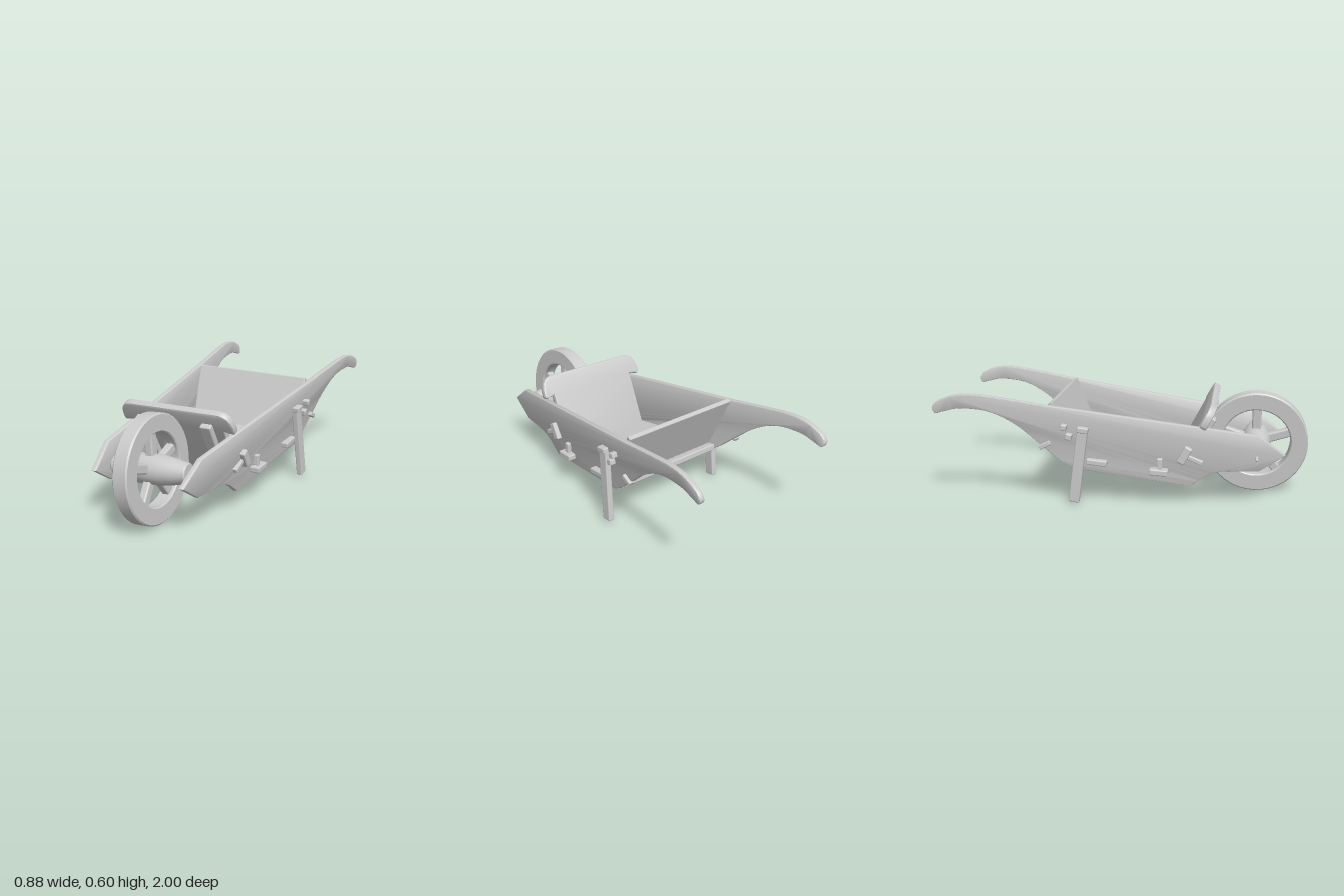
import * as THREE from 'three';
import { toCreasedNormals } from 'three/addons/utils/BufferGeometryUtils.js';
import { RoundedBoxGeometry } from 'three/addons/geometries/RoundedBoxGeometry.js';

const wood = new THREE.MeshStandardMaterial({ color: 0xcccccc });
const V = (x, y) => new THREE.Vector2(x, y);

// Distance of a side board's middle from the centre line (boards splay back and up)
const boardX = (z, y) => 0.325 - 0.08 * z + 0.08 * (y - 0.3);

function add(parent, name, geometry) {
  const mesh = new THREE.Mesh(geometry, wood);
  mesh.name = name;
  parent.add(mesh);
  return mesh;
}

function block(parent, name, w, h, d, x, y, z, tilt = 0) {
  const r = Math.min(w, h, d) * 0.2;
  const mesh = add(parent, name, new RoundedBoxGeometry(w, h, d, 2, r));
  mesh.position.set(x, y, z);
  mesh.rotation.x = tilt;
  return mesh;
}

// Flat board cut from an outline, centred on its thickness
function slab(shape, thickness, bevel = 0.005) {
  const g = new THREE.ExtrudeGeometry(shape, {
    depth: thickness - 2 * bevel, bevelThickness: bevel, bevelSize: bevel,
    bevelOffset: -bevel, bevelSegments: 2, curveSegments: 10,
  });
  return g.translate(0, 0, -(thickness - 2 * bevel) / 2);
}

// Side board and handle in one piece; s = 1 is left, -1 is right
function sideBoard(s) {
  const p = (z, y) => V(-s * z, y);
  const shape = new THREE.Shape();
  shape.moveTo(-s * 0.865, 0.28);
  shape.lineTo(-s * 0.72, 0.39);
  shape.lineTo(-s * -0.4, 0.545);
  shape.splineThru([p(-0.6, 0.577), p(-0.77, 0.6), p(-0.88, 0.595), p(-0.97, 0.562),
    p(-1, 0.525), p(-0.985, 0.495), p(-0.94, 0.505), p(-0.85, 0.522), p(-0.7, 0.505),
    p(-0.56, 0.435), p(-0.42, 0.315), p(-0.33, 0.235), p(-0.26, 0.19)]);
  shape.lineTo(-s * 0.37, 0.1);
  shape.splineThru([p(0.45, 0.16), p(0.53, 0.185), p(0.63, 0.188), p(0.73, 0.19)]);
  shape.closePath();
  const g = slab(shape, 0.032, 0.007);
  const pos = g.attributes.position;
  for (let i = 0; i < pos.count; i++) {
    const z = -s * pos.getX(i), y = pos.getY(i), t = pos.getZ(i);
    pos.setXYZ(i, s * (boardX(z, y) + s * s * t), y, z);
  }
  return toCreasedNormals(g, 0.6);
}

function trapezoid(bottom, top, height) {
  return new THREE.Shape([V(-bottom, 0), V(bottom, 0), V(top, height), V(-top, height)]);
}

function makeWheel() {
  const wheel = new THREE.Group();
  wheel.name = 'wheel';
  const turned = (name, pts, segments) => {
    const g = new THREE.LatheGeometry(pts.map(([r, y]) => V(r, y)), segments);
    return add(wheel, name, toCreasedNormals(g.rotateZ(-Math.PI / 2), 0.6));
  };
  turned('rim', [[0.19, -0.036], [0.196, -0.042], [0.278, -0.042], [0.285, -0.035],
    [0.285, 0.035], [0.278, 0.042], [0.196, 0.042], [0.19, 0.036], [0.19, -0.036]], 40);
  turned('hub', [[0, -0.227], [0.046, -0.227], [0.052, -0.22], [0.053, -0.2], [0.066, -0.14],
    [0.077, -0.07], [0.081, 0], [0.077, 0.07], [0.066, 0.14], [0.055, 0.19], [0.052, 0.207],
    [0.046, 0.213], [0, 0.213]], 24);
  turned('axle', [[0, -0.325], [0.006, -0.32], [0.012, -0.27], [0.012, 0.265], [0, 0.275]], 10);
  for (let i = 0; i < 5; i++) {
    const a = (i * 2 * Math.PI) / 5;
    block(wheel, 'spoke', 0.045, 0.17, 0.05, 0, 0.13 * Math.cos(a), 0.13 * Math.sin(a), a);
  }
  wheel.position.set(0, 0.287, 0.715);
  wheel.rotation.z = 0.07;
  return wheel;
}

function makeHeadboard() {
  const board = new THREE.Group();
  board.name = 'headboard';
  // Narrow body with rounded ears resting over the side boards
  const s = new THREE.Shape();
  s.moveTo(-0.27, 0);
  s.lineTo(0.27, 0);
  s.lineTo(0.275, 0.335);
  s.lineTo(0.32, 0.325);
  s.quadraticCurveTo(0.335, 0.325, 0.335, 0.345);
  s.quadraticCurveTo(0.335, 0.45, 0.25, 0.45);
  s.lineTo(-0.26, 0.45);
  s.quadraticCurveTo(-0.345, 0.45, -0.345, 0.345);
  s.quadraticCurveTo(-0.345, 0.325, -0.33, 0.325);
  s.lineTo(-0.275, 0.335);
  s.closePath();
  add(board, 'headboardPanel', toCreasedNormals(slab(s, 0.04, 0.009), 0.6));
  for (const x of [-0.212, 0.183]) block(board, 'headboardBatten', 0.065, 0.33, 0.04, x, 0.215, 0.03);
  board.position.set(0, 0.15, 0.28);
  board.rotation.set(0.48, 0, 0.025);
  return board;
}

export function createModel() {
  const barrow = new THREE.Group();
  barrow.name = 'wheelbarrow';
  barrow.add(makeWheel(), makeHeadboard());

  // Floor planks, sloping down towards the wheel
  for (const [z0, z1] of [[-0.265, 0.017], [0.023, 0.3]]) {
    const half = (z) => boardX(z, 0.2 - 0.14 * z);
    const shape = new THREE.Shape([V(-half(z0), z0), V(half(z0), z0), V(half(z1), z1), V(-half(z1), z1)]);
    const plank = add(barrow, 'floorPlank', slab(shape, 0.03).rotateX(Math.PI / 2));
    plank.position.y = 0.2;
    plank.rotation.x = 0.14;
  }

  // Tailboard leaning back, with a rail under it
  const tail = add(barrow, 'tailboard', slab(trapezoid(0.33, 0.352, 0.335), 0.026));
  tail.position.set(0, 0.24, -0.25);
  tail.rotation.x = -0.4;
  block(barrow, 'rearRail', 0.68, 0.035, 0.04, 0, 0.222, -0.285, 0.14);

  // Through tenons, wedges and pegs: name, z, y, length, height, tilt, reach
  const fittings = [
    ['headboardTenon', 0.335, 0.28, 0.045, 0.1, 0.5, 0.045],
    ['headboardWedge', 0.385, 0.255, 0.1, 0.025, 0.4, 0.035],
    ['floorTenon', 0.2, 0.188, 0.1, 0.032, 0.05, 0.065],
    ['floorWedge', 0.205, 0.23, 0.03, 0.06, 0, 0.04],
    ['rearFloorTenon', -0.13, 0.235, 0.11, 0.03, 0.1, 0.05],
    ['upperPeg', -0.3, 0.43, 0.032, 0.03, 0.2, 0.05],
    ['lowerPeg', -0.275, 0.378, 0.034, 0.034, 0.2, 0.05],
    ['rearWedge', -0.405, 0.327, 0.065, 0.025, -0.45, 0.035],
  ];

  for (const s of [-1, 1]) {
    const side = s > 0 ? 'left' : 'right';
    add(barrow, side + 'SideBoard', sideBoard(s));
    for (const [name, z, y, len, high, tilt, reach] of fittings) {
      block(barrow, side + '-' + name, reach, high, len, s * (boardX(z, y) + reach / 2), y, z, tilt);
    }
    // Leg fixed to the outside of the board
    const foot = s > 0 ? 0.393 : 0.366;
    const leg = block(barrow, side + 'Leg', 0.034, 0.415, 0.058, s * (0.373 + foot) / 2, 0.217, -0.228, 0.13);
    leg.rotation.z = (s * (0.373 - foot)) / -0.4;
    block(barrow, side + 'LegCap', 0.05, 0.03, 0.06, s * 0.375, 0.415, -0.2, 0.13);
  }
  return barrow;
}
